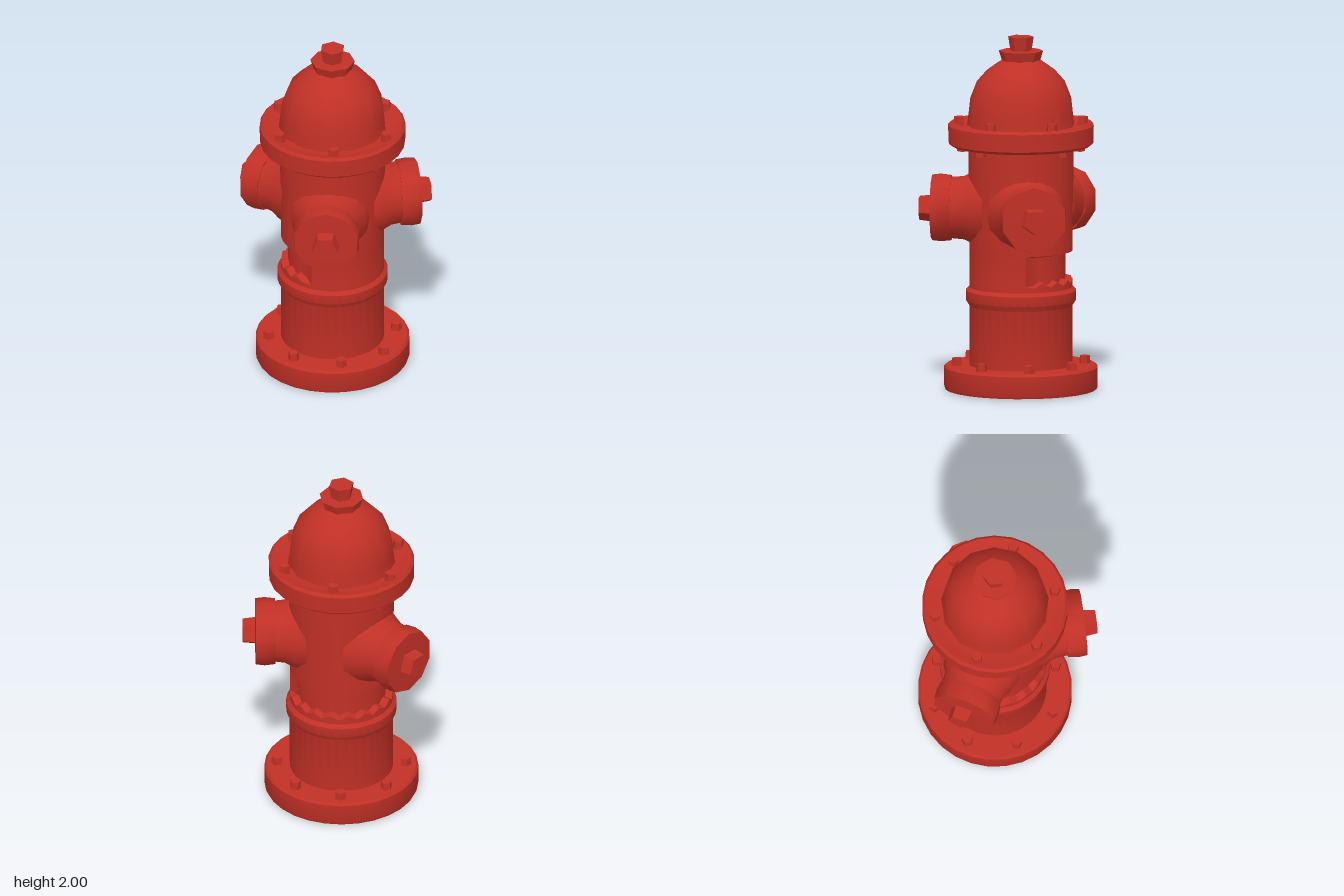
import * as THREE from 'three';
import { toCreasedNormals } from 'three/addons/utils/BufferGeometryUtils.js';

const red = new THREE.MeshStandardMaterial({ color: 0xc03026 });
red.name = 'hydrant red';

const AXIS_Z = -0.07; // the barrel stands a little behind the centre
const rad = THREE.MathUtils.degToRad;

function part(name, geometry, crease = 0.7) {
  const mesh = new THREE.Mesh(toCreasedNormals(geometry, crease), red);
  mesh.name = name;
  return mesh;
}

// Turned profile, given as [radius, height] from bottom to top
function turned(profile, sides) {
  return new THREE.LatheGeometry(profile.map(([r, y]) => new THREE.Vector2(r, y)), sides);
}

// Barrel with raised band and a shallow broken-away recess round the back
function barrelGeometry() {
  const g = turned([
    [0.29, 0.12], [0.29, 0.48], [0.31, 0.51], [0.31, 0.565], [0.29, 0.585], [0.29, 0.61],
    [0.289, 0.62], [0.289, 0.78], [0.29, 0.79], [0.29, 1.0], [0.295, 1.2], [0.295, 1.42],
  ], 36);
  const p = g.attributes.position;
  for (let i = 0; i < p.count; i++) {
    const x = p.getX(i), y = p.getY(i), z = p.getZ(i);
    if (y < 0.6 || y > 0.8) continue;
    const turn = (THREE.MathUtils.radToDeg(Math.atan2(-z, x)) + 360) % 360;
    if (turn < 18 || turn > 248) continue;
    const inset = y > 0.615 && y < 0.785;
    const s = inset ? 0.25 / Math.hypot(x, z) : 1;
    // ragged lower lip
    const lift = y < 0.7 && Math.round(turn / 10) % 2 ? 0.025 : 0;
    p.setXYZ(i, x * s, y + lift, z * s);
  }
  return g;
}

// Hose outlet pointing along +z, measured from the barrel axis
function outlet(name, degrees, reach) {
  const group = new THREE.Group();
  group.name = name;
  const neck = turned([[0.225, 0.2], [0.205, 0.27], [0.18, 0.32], [0.172, reach - 0.09]], 16);
  const cap = turned([[0, reach - 0.11], [0.185, reach - 0.11], [0.192, reach - 0.05], [0.186, reach], [0, reach + 0.005]], 10);
  const nut = turned([[0.082, reach - 0.01], [0.072, reach + 0.072], [0, reach + 0.072]], 5);
  [['outletNeck', neck], ['outletCap', cap], ['outletNut', nut]].forEach(([n, g]) => {
    g.rotateX(Math.PI / 2);
    group.add(part(n, g));
  });
  group.position.y = 1.025;
  group.rotation.y = rad(degrees);
  return group;
}

// Ring of small bolt heads
function boltRing(name, count, radius, y, height, start) {
  const group = new THREE.Group();
  group.name = name;
  for (let i = 0; i < count; i++) {
    const a = rad(start) + (i / count) * Math.PI * 2;
    const bolt = part('bolt', new THREE.CylinderGeometry(0.03, 0.034, height, 5));
    bolt.position.set(Math.sin(a) * radius, y, Math.cos(a) * radius);
    bolt.rotation.y = a;
    group.add(bolt);
  }
  return group;
}

export function createModel() {
  const model = new THREE.Group();
  model.name = 'fireHydrant';
  const body = new THREE.Group();
  body.name = 'hydrant';
  body.position.z = AXIS_Z;
  model.add(body);

  // Foot plate
  body.add(part('basePlate', turned([
    [0, 0], [0.425, 0.005], [0.432, 0.02], [0.432, 0.13], [0.42, 0.142], [0.28, 0.142],
  ], 28)));
  body.add(boltRing('baseBolts', 8, 0.36, 0.155, 0.06, 12));

  // Barrel
  body.add(part('barrel', barrelGeometry(), 0.6));

  // Flange under the bonnet, with a slightly dished top
  body.add(part('flange', turned([
    [0.28, 1.39], [0.39, 1.385], [0.408, 1.40], [0.41, 1.50], [0.395, 1.515], [0.37, 1.51],
    [0.33, 1.495], [0.27, 1.50],
  ], 26)));
  body.add(boltRing('flangeTopBolts', 6, 0.345, 1.515, 0.065, 5));
  body.add(boltRing('flangeLowerBolts', 8, 0.325, 1.375, 0.05, 5));

  // Domed bonnet, collar and top nut
  body.add(part('bonnet', turned([
    [0.305, 1.48], [0.295, 1.56], [0.285, 1.65], [0.248, 1.745], [0.19, 1.81], [0.12, 1.86], [0.08, 1.88],
  ], 13), 0.8));
  body.add(part('collar', turned([[0.1, 1.84], [0.125, 1.92], [0, 1.922]], 8)));
  body.add(part('topNut', turned([[0.058, 1.91], [0.072, 2.0], [0, 2.0]], 6)));

  // Hose outlets
  body.add(outlet('frontOutlet', 0, 0.5));
  body.add(outlet('leftOutlet', 103.5, 0.482));
  body.add(outlet('rightOutlet', -118, 0.5));
  return model;
}
